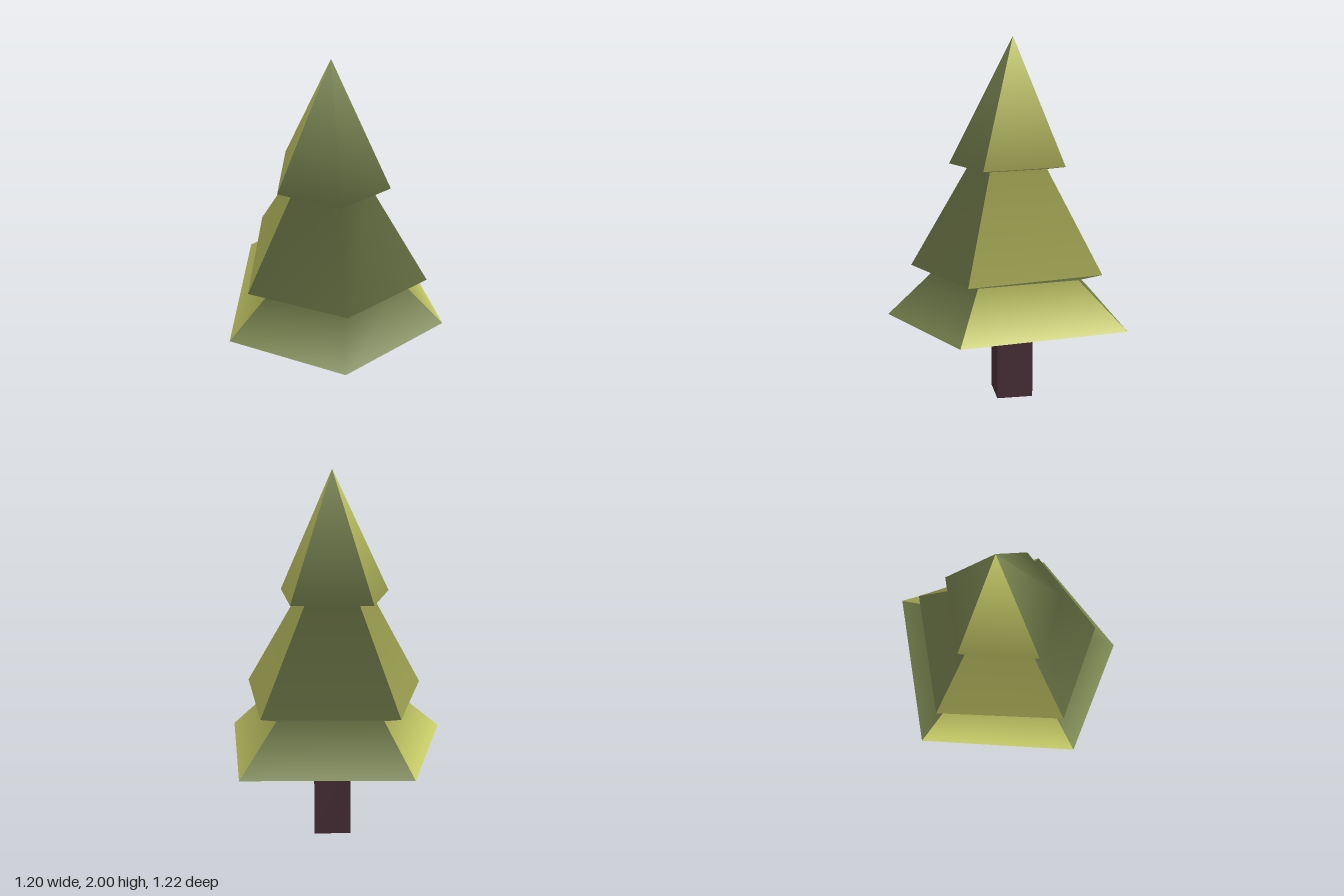
import * as THREE from 'three';

// Five-cornered outlines from bottom to tip; corners run left, front, right, back right, back left
const RINGS = [
  { y: 0.49, p: [[-0.6, 0.25], [-0.01, 0.61], [0.6, 0.29], [0.49, -0.61], [-0.4, -0.61]] },
  { y: 0.73, p: [[-0.34, 0.13], [0.02, 0.365], [0.37, 0.165], [0.31, -0.385], [-0.25, -0.385]] },
  { y: 0.775, p: [[-0.48, 0.2], [0.02, 0.48], [0.505, 0.235], [0.385, -0.495], [-0.33, -0.495]] },
  { y: 1.31, p: [[-0.2, 0.04], [0.02, 0.165], [0.21, 0.075], [0.165, -0.24], [-0.125, -0.24]] },
  { y: 1.33, p: [[-0.29, 0.085], [0.02, 0.265], [0.305, 0.125], [0.235, -0.325], [-0.195, -0.325]] },
  { y: 2, p: Array(5).fill([0.02, -0.08]) },
];

// One side of the foliage, smooth within itself and sharp against its neighbours
function foliageStrip(corners) {
  const n = corners.length;
  const points = RINGS.flatMap(({ y, p }) => corners.map((c) => new THREE.Vector3(p[c][0], y, p[c][1])));
  const normals = points.map(() => new THREE.Vector3());
  const index = [];
  const geometry = new THREE.BufferGeometry();
  for (let r = 0; r < RINGS.length - 1; r++) {
    const start = index.length;
    for (let i = 0; i < n - 1; i++) {
      const a = r * n + i, b = a + 1, c = b + n, d = a + n;
      index.push(a, b, c);
      if (r < RINGS.length - 2) index.push(a, c, d);
      const ac = points[c].clone().sub(points[a]);
      const bd = points[d].clone().sub(points[b]);
      const normal = ac.cross(bd).normalize();
      for (const k of [a, b, c, d]) normals[k].add(normal);
    }
    // odd bands are the undersides of the upper tiers
    geometry.addGroup(start, index.length - start, r % 2);
  }
  normals.forEach((v) => v.normalize());
  geometry.setAttribute('position', new THREE.Float32BufferAttribute(points.flatMap((v) => v.toArray()), 3));
  geometry.setAttribute('normal', new THREE.Float32BufferAttribute(normals.flatMap((v) => v.toArray()), 3));
  geometry.setIndex(index);
  return geometry;
}

// Shallow five-sided underside dipping towards the trunk
function undersideGeometry() {
  const { y, p } = RINGS[0];
  const positions = [];
  for (let i = 0; i < 5; i++) {
    const a = p[i], b = p[(i + 1) % 5];
    positions.push(0.02, 0.435, -0.08, b[0], y, b[1], a[0], y, a[1]);
  }
  const geometry = new THREE.BufferGeometry();
  geometry.setAttribute('position', new THREE.Float32BufferAttribute(positions, 3));
  geometry.computeVertexNormals();
  return geometry;
}

export function createModel() {
  const model = new THREE.Group();
  model.name = 'tree';
  const material = (name, color) => {
    const m = new THREE.MeshStandardMaterial({ color });
    m.name = name;
    return m;
  };
  const olive = material('olive green', 0x7d8853);
  const yellowGreen = material('yellow green', 0xc8cd68);
  const bark = material('dark bark', 0x452c35);

  const add = (name, geometry, mat) => {
    const mesh = new THREE.Mesh(geometry, mat);
    mesh.name = name;
    model.add(mesh);
    return mesh;
  };

  // Foliage sides
  add('frontFoliage', foliageStrip([0, 1, 2]), [olive, olive]);
  add('leftFoliage', foliageStrip([2, 3]), [yellowGreen, olive]);
  add('backFoliage', foliageStrip([3, 4]), [olive, olive]);
  add('rightFoliage', foliageStrip([4, 0]), [yellowGreen, olive]);
  add('foliageUnderside', undersideGeometry(), olive);

  // Square trunk
  add('trunk', new THREE.BoxGeometry(0.2, 0.47, 0.2), bark).position.set(0.02, 0.235, -0.08);

  return model;
}
